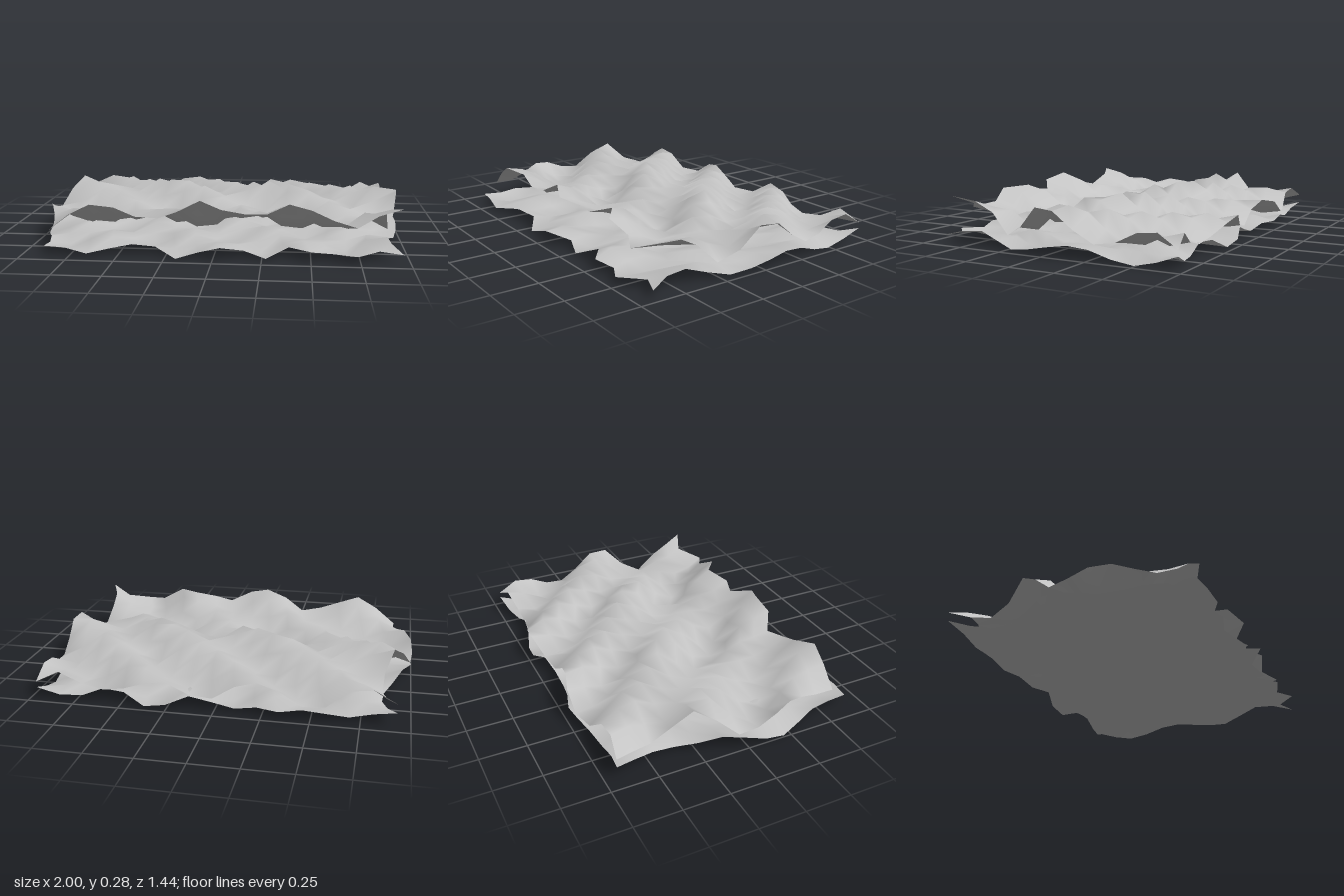
import * as THREE from 'three';

const COLS = 16, ROWS = 12;

// Outline of the cloth: wavy sides, gently scalloped back, jagged front
const leftX = [-.93, -.88, -.85, -.855, -.9, -.95, -.99, -1, -.99, -.95, -.91, -.885, -.885];
const rightX = [.96, .955, .955, .965, .98, .99, 1, .99, .965, .925, .905, .915, .965];
const backZ = [-.69, -.67, -.67, -.69, -.72, -.72, -.685, -.665, -.67, -.69, -.725, -.715, -.68, -.665, -.67, -.695, -.72];
const frontZ = [.575, .59, .605, .55, .56, .525, .6, .575, .625, .54, .58, .51, .6, .565, .63, .525, .575];

// Heights of the lifted front hem of the upper sheet
const hemY = [.11, .2, .26, .235, .19, .175, .23, .285, .25, .21, .22, .26, .25, .19, .17, .21, .26];

// Broad swell of the upper sheet, evenly spaced from z = -.75 to z = .45
const swell = [.095, .12, .135, .155, .19, .185, .135, .112, .125];

// Smooth interpolation in an evenly spaced list, t from 0 to 1
function sample(list, t) {
  const p = THREE.MathUtils.clamp(t, 0, 1) * (list.length - 1);
  const i = Math.min(Math.floor(p), list.length - 2), f = p - i;
  const a = list[Math.max(i - 1, 0)], b = list[i], c = list[i + 1];
  const d = list[Math.min(i + 2, list.length - 1)];
  return b + .5 * f * (c - a + f * (2 * a - 5 * b + 4 * c - d + f * (3 * (b - c) + d - a)));
}

// Diagonal folds riding on the swell, rising to the hem at the front
function upperHeight(x, z, i) {
  const base = sample(swell, (z - .1 * (x - .4) + .75) / 1.2);
  const fold = .06 * Math.cos(2 * Math.PI * (x - z - .45) / .55);
  const lift = THREE.MathUtils.clamp((z - .25) / (frontZ[i] - .25), 0, 1);
  return THREE.MathUtils.lerp(Math.max(base + fold, .06), hemY[i], lift);
}

// Small crossing ripples close to the ground
function lowerHeight(x, z) {
  return .041 + .025 * Math.cos(13 * (x + .3) - 9 * (z + .55)) + .015 * Math.sin(17 * x + 11 * z);
}

// Builds one sheet as a grid inside the outline
function sheet(name, material, frontExtra, height) {
  const pos = [], index = [];
  for (let j = 0; j <= ROWS; j++) {
    for (let i = 0; i <= COLS; i++) {
      const x = THREE.MathUtils.lerp(leftX[j], rightX[j], i / COLS);
      const z = THREE.MathUtils.lerp(backZ[i], frontZ[i] + frontExtra, j / ROWS);
      pos.push(x, height(x, z, i), z);
      if (i < COLS && j < ROWS) {
        const a = j * (COLS + 1) + i, b = a + COLS + 1;
        index.push(a, b, a + 1, a + 1, b, b + 1);
      }
    }
  }
  const geo = new THREE.BufferGeometry();
  geo.setAttribute('position', new THREE.Float32BufferAttribute(pos, 3));
  geo.setIndex(index);
  geo.computeVertexNormals();
  const mesh = new THREE.Mesh(geo, material);
  mesh.name = name;
  return mesh;
}

export function createModel() {
  const cloth = new THREE.MeshStandardMaterial({ color: 0xc4c4c4, side: THREE.DoubleSide });
  cloth.name = 'light grey cloth';
  const group = new THREE.Group();
  group.name = 'foldedBlanket';
  group.add(sheet('upperSheet', cloth, 0, upperHeight));
  group.add(sheet('lowerSheet', cloth, .086, lowerHeight));
  return group;
}
